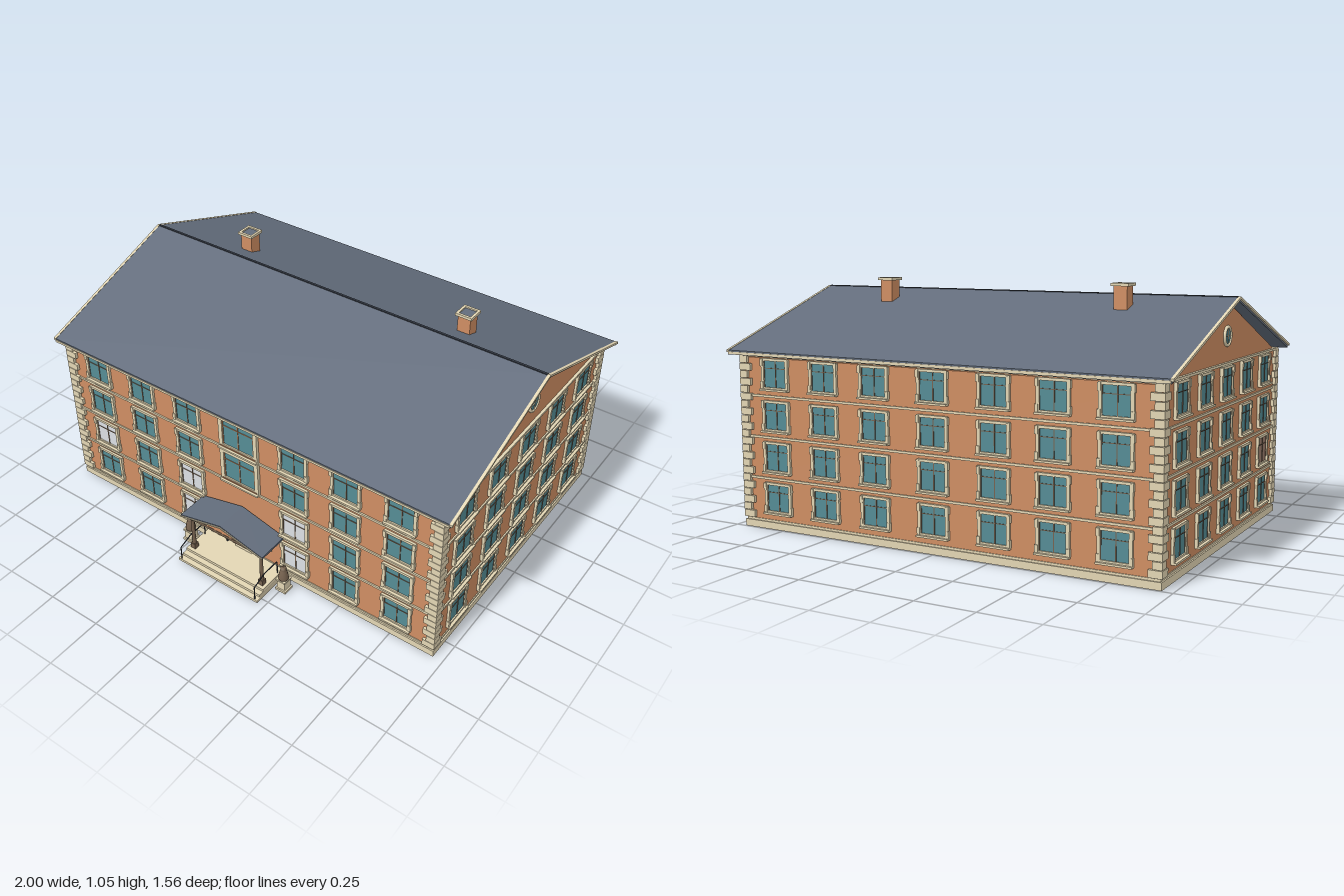
import * as THREE from 'three';

const mat = (name, color) => {
  const m = new THREE.MeshStandardMaterial({ color });
  m.name = name;
  return m;
};

export function createModel() {
  const model = new THREE.Group();
  model.name = 'apartmentBuilding';
  const brick = mat('brick', 0xcf8e63), stone = mat('stone', 0xe3d6b4), glass = mat('glass', 0x558c95),
    pale = mat('paleGlass', 0xdce0e4), slate = mat('slate', 0x636d7c), dark = mat('darkMetal', 0x343a44),
    wood = mat('wood', 0xb87f58), bronze = mat('bronze', 0x76624f), plaster = mat('plaster', 0x9f8170);

  const add = (parent, name, geo, m, x = 0, y = 0, z = 0) => {
    const mesh = new THREE.Mesh(geo, m);
    mesh.name = name;
    mesh.position.set(x, y, z);
    parent.add(mesh);
    return mesh;
  };
  const box = (parent, name, w, h, d, m, x, y, z) => add(parent, name, new THREE.BoxGeometry(w, h, d), m, x, y, z);
  const shapeOf = pts => new THREE.Shape(pts.map(p => new THREE.Vector2(p[0], p[1])));
  const extrude = (shape, depth) => new THREE.ExtrudeGeometry(shape, { depth, bevelEnabled: false });
  const rect = (w, h) => [[-w / 2, -h / 2], [w / 2, -h / 2], [w / 2, h / 2], [-w / 2, h / 2]];
  const frameGeo = (w, h, iw, ih, d) => {
    const s = shapeOf(rect(w, h));
    s.holes.push(shapeOf(rect(iw, ih)));
    return extrude(s, d);
  };
  // profile of (z, y) points swept along x
  const sweepX = (pts, len) => extrude(shapeOf(pts.map(([z, y]) => [-z, y])), len)
    .translate(0, 0, -len / 2).rotateY(Math.PI / 2);
  // hollow rectangular wall ring standing on y
  const ring = (name, w, d, t, h, y, m) =>
    add(model, name, frameGeo(w, d, w - 2 * t, d - 2 * t, h).rotateX(-Math.PI / 2), m, 0, y, CZ);

  const CZ = -0.075, HX = 0.945, HZ = 0.66;
  const rows = [0.135, 0.31, 0.485, 0.662];

  // Body: hollow ground floor, solid upper storeys with gables
  ring('groundWalls', 2 * HX, 2 * HZ, 0.02, 0.2, 0.01, brick);
  ring('innerWalls', 2 * HX - 0.04, 2 * HZ - 0.04, 0.012, 0.19, 0.01, stone);
  box(model, 'frontInnerWall', 2 * HX - 0.07, 0.165, 0.004, plaster, 0, 0.116, CZ + HZ - 0.033);
  add(model, 'upperWalls', sweepX([[CZ + HZ, 0.205], [CZ + HZ, 0.728], [-0.08, 0.981], [CZ - HZ, 0.728], [CZ - HZ, 0.205]], 2 * HX), brick);
  box(model, 'groundCeiling', 2 * HX - 0.05, 0.006, 2 * HZ - 0.05, stone, 0, 0.201, CZ);
  ring('plinth', 2 * HX + 0.02, 2 * HZ + 0.02, 0.043, 0.03, 0, stone);
  ring('plinthCap', 2 * HX + 0.008, 2 * HZ + 0.008, 0.03, 0.009, 0.03, stone);
  [0.217, 0.393, 0.568, 0.737].forEach((y, i) => {
    const p = i === 3 ? 0.024 : 0.012;
    box(model, 'beltCourse', 2 * HX + p, 0.01, 2 * HZ + p, stone, 0, y, CZ);
  });

  // Lobby seen through the open underside
  box(model, 'lobbyFloor', 0.87, 0.012, 0.57, slate, 0, 0.035, 0.285);
  box(model, 'corridorFloor', 0.26, 0.012, 0.66, slate, 0, 0.035, -0.33);
  box(model, 'lobbyRoom', 0.87, 0.16, 0.56, stone, 0, 0.121, 0.28);
  box(model, 'corridorRoom', 0.26, 0.16, 0.66, stone, 0, 0.121, -0.33);

  // Corner quoins
  for (const sx of [-1, 1]) for (const sz of [-1, 1]) for (let i = 0; i < 22; i++) {
    const s = i % 2 ? 0.039 : 0.056;
    box(model, 'quoin', s, 0.029, s, stone, sx * (HX + 0.013 - s / 2), 0.057 + i * 0.0315, CZ + sz * (HZ + 0.013 - s / 2));
  }

  // Windows
  const surround = frameGeo(0.14, 0.132, 0.112, 0.11, 0.01);
  const tallSurround = frameGeo(0.196, 0.166, 0.158, 0.13, 0.014);
  const makeWindow = (facade, x, y, pane, ground) => {
    const w = new THREE.Group();
    w.name = 'window';
    w.position.set(x, y, 0);
    facade.add(w);
    add(w, 'surround', surround, stone);
    box(w, 'sill', 0.144, 0.008, 0.022, stone, 0, -0.066, 0.011);
    box(w, 'pane', 0.114, 0.112, 0.004, pane, 0, 0, 0.002);
    for (const s of [-1, 1]) {
      for (const t of [-1, 1]) box(w, 'earBlock', 0.014, 0.03, 0.013, stone, s * 0.066, t * 0.048, 0.0065);
      box(w, 'sash', 0.002, 0.11, 0.005, bronze, s * 0.055, 0, 0.004);
    }
    box(w, 'mullion', 0.004, 0.11, 0.005, bronze, 0.004, 0, 0.004);
    box(w, 'transom', 0.112, 0.003, 0.005, bronze, 0, 0.024, 0.004);
    if (ground) box(w, 'innerPane', 0.11, 0.115, 0.004, dark, 0, 0, -0.0345);
  };
  const makeFacade = (name, cols, x, z, turn, pick) => {
    const f = new THREE.Group();
    f.name = name;
    f.position.set(x, 0, z);
    f.rotation.y = turn;
    model.add(f);
    cols.forEach((cx, c) => rows.forEach((y, r) => {
      const pane = pick(c, r);
      if (pane) makeWindow(f, cx, y, pane, r === 0);
    }));
    return f;
  };
  const longCols = [-0.775, -0.525, -0.275, 0, 0.272, 0.522, 0.772];
  const sideCols = [-0.49, -0.245, 0, 0.245, 0.49];
  const paleOnes = ['0,1', '2,1', '4,1', '2,0', '4,0'];
  const front = makeFacade('frontFacade', longCols, 0, CZ + HZ, 0,
    (c, r) => c === 3 ? null : paleOnes.includes(c + ',' + r) ? pale : glass);
  makeFacade('backFacade', longCols, 0, CZ - HZ, Math.PI, () => glass);
  for (const s of [-1, 1]) {
    const f = makeFacade('gableFacade', sideCols, s * HX, CZ, s * Math.PI / 2,
      (c, r) => s < 0 && c === 4 && r === 1 ? plaster : glass);
    // round attic window
    const ox = s * 0.005;
    add(f, 'roundPane', new THREE.CylinderGeometry(0.034, 0.034, 0.006, 28).rotateX(Math.PI / 2), glass, ox, 0.845, 0.003);
    add(f, 'roundSurround', new THREE.TorusGeometry(0.036, 0.007, 8, 28), stone, ox, 0.845, 0.004);
    box(f, 'roundMullion', 0.003, 0.066, 0.004, stone, ox, 0.845, 0.006);
    box(f, 'roundTransom', 0.066, 0.003, 0.004, stone, ox, 0.845, 0.006);
  }

  // Tall stair windows over the entrance
  for (const y of [0.486, 0.662]) {
    add(front, 'tallSurround', tallSurround, stone, 0, y, 0);
    box(front, 'tallPane', 0.16, 0.132, 0.004, glass, 0, y, 0.006);
    for (const x of [-0.077, 0, 0.077]) box(front, 'tallMullion', 0.004, 0.13, 0.005, wood, x, y, 0.008);
    box(front, 'tallTransom', 0.158, 0.003, 0.005, wood, 0, y + 0.03, 0.008);
    box(front, 'tallSill', 0.196, 0.008, 0.024, stone, 0, y - 0.084, 0.012);
    box(front, 'tallSillEdge', 0.18, 0.004, 0.004, wood, 0, y - 0.074, 0.015);
  }

  // Main roof
  const chevron = (half, top, eave, t) => [[-0.08 + half, eave], [-0.08, top], [-0.08 - half, eave], [-0.08 - half, eave - t], [-0.08, top - t], [-0.08 + half, eave - t]];
  add(model, 'roof', sweepX(chevron(0.697, 0.999, 0.757, 0.018), 1.984), slate);
  for (const s of [-1, 1]) {
    add(model, 'bargeBoard', sweepX(chevron(0.699, 1.0, 0.758, 0.01), 0.012), stone, s * 0.994);
    box(model, 'eaveTrim', 1.98, 0.01, 0.006, stone, 0, 0.746, -0.08 + s * 0.697);
  }
  box(model, 'ridgeCap', 1.976, 0.006, 0.01, dark, 0, 0.998, -0.08);

  // Chimneys
  for (const s of [-1, 1]) {
    const x = s * 0.56, z = -0.21;
    box(model, 'chimney', 0.058, 0.12, 0.058, brick, x, 0.98, z);
    add(model, 'chimneyCap', frameGeo(0.076, 0.076, 0.054, 0.054, 0.012).rotateX(-Math.PI / 2), stone, x, 1.037, z);
    box(model, 'chimneyFlue', 0.056, 0.004, 0.056, slate, x, 1.041, z);
  }

  // Entrance door
  const door = new THREE.Group();
  door.name = 'entrance';
  door.position.z = CZ + HZ;
  model.add(door);
  box(door, 'doorPanel', 0.18, 0.15, 0.006, wood, 0, 0.115, 0.004);
  box(door, 'doorOpening', 0.09, 0.122, 0.004, dark, 0, 0.129, 0.008);
  box(door, 'doorStep', 0.09, 0.03, 0.012, stone, 0, 0.053, 0.008);
  box(door, 'doorLintel', 0.19, 0.007, 0.012, dark, 0, 0.192, 0.008);
  box(door, 'doorCornice', 0.14, 0.008, 0.012, stone, 0, 0.203, 0.008);
  for (const s of [-1, 1]) {
    box(door, 'doorJamb', 0.006, 0.155, 0.012, dark, s * 0.092, 0.115, 0.008);
    box(door, 'sideLight', 0.007, 0.1, 0.004, dark, s * 0.077, 0.125, 0.008);
    box(door, 'wallLamp', 0.012, 0.02, 0.014, dark, s * 0.14, 0.178, 0.008);
    box(door, 'wallPlate', 0.022, 0.024, 0.006, stone, s * 0.137, 0.118, 0.004);
  }

  // Porch
  const porch = new THREE.Group();
  porch.name = 'porch';
  model.add(porch);
  box(porch, 'platform', 0.42, 0.036, 0.145, stone, 0, 0.018, 0.66);
  box(porch, 'upperStep', 0.42, 0.024, 0.165, stone, 0, 0.012, 0.674);
  box(porch, 'lowerStep', 0.43, 0.012, 0.19, stone, 0, 0.006, 0.685);
  add(porch, 'porchRoof', extrude(shapeOf([[-0.218, 0.232], [0, 0.286], [0.218, 0.232], [0.218, 0.222], [0, 0.274], [-0.218, 0.222]]), 0.148), slate, 0, 0, 0.59);
  add(porch, 'porchRoofTrim', extrude(shapeOf([[-0.219, 0.228], [0, 0.281], [0.219, 0.228], [0.219, 0.223], [0, 0.275], [-0.219, 0.223]]), 0.006), stone, 0, 0, 0.736);
  add(porch, 'tympanum', extrude(shapeOf([[-0.185, 0.222], [0.185, 0.222], [0, 0.274]]), 0.02), brick, 0, 0, 0.7);
  box(porch, 'frontBeam', 0.39, 0.014, 0.022, bronze, 0, 0.219, 0.71);
  for (const s of [-1, 1]) {
    box(porch, 'sideBeam', 0.018, 0.016, 0.13, bronze, s * 0.185, 0.218, 0.645);
    add(porch, 'column', new THREE.CylinderGeometry(0.007, 0.009, 0.18, 12), bronze, s * 0.185, 0.126, 0.705);
    box(porch, 'columnBase', 0.024, 0.026, 0.024, bronze, s * 0.185, 0.049, 0.705);
    box(porch, 'columnCapital', 0.024, 0.01, 0.024, bronze, s * 0.185, 0.207, 0.705);
    // handrail
    const path = new THREE.CurvePath();
    const p = [[0.03, 0.62], [0.103, 0.62], [0.103, 0.705], [0.078, 0.775], [0.01, 0.775]].map(([y, z]) => new THREE.Vector3(s * 0.2, y, z));
    for (let i = 0; i < 4; i++) path.add(new THREE.LineCurve3(p[i], p[i + 1]));
    add(porch, 'handrail', new THREE.TubeGeometry(path, 40, 0.0025, 6), dark);
    // urn on a pedestal
    const x = s * 0.255, z = 0.648;
    box(porch, 'pedestalFoot', 0.052, 0.012, 0.052, stone, x, 0.006, z);
    box(porch, 'pedestal', 0.04, 0.046, 0.04, stone, x, 0.034, z);
    box(porch, 'pedestalCap', 0.048, 0.008, 0.048, stone, x, 0.058, z);
    const urn = [[0, 0.06], [0.022, 0.06], [0.023, 0.07], [0.019, 0.09], [0.014, 0.108], [0.012, 0.112], [0.013, 0.124], [0, 0.127]];
    add(porch, 'urn', new THREE.LatheGeometry(urn.map(q => new THREE.Vector2(q[0], q[1])), 12), bronze, x, 0, z);
  }
  return model;
}
